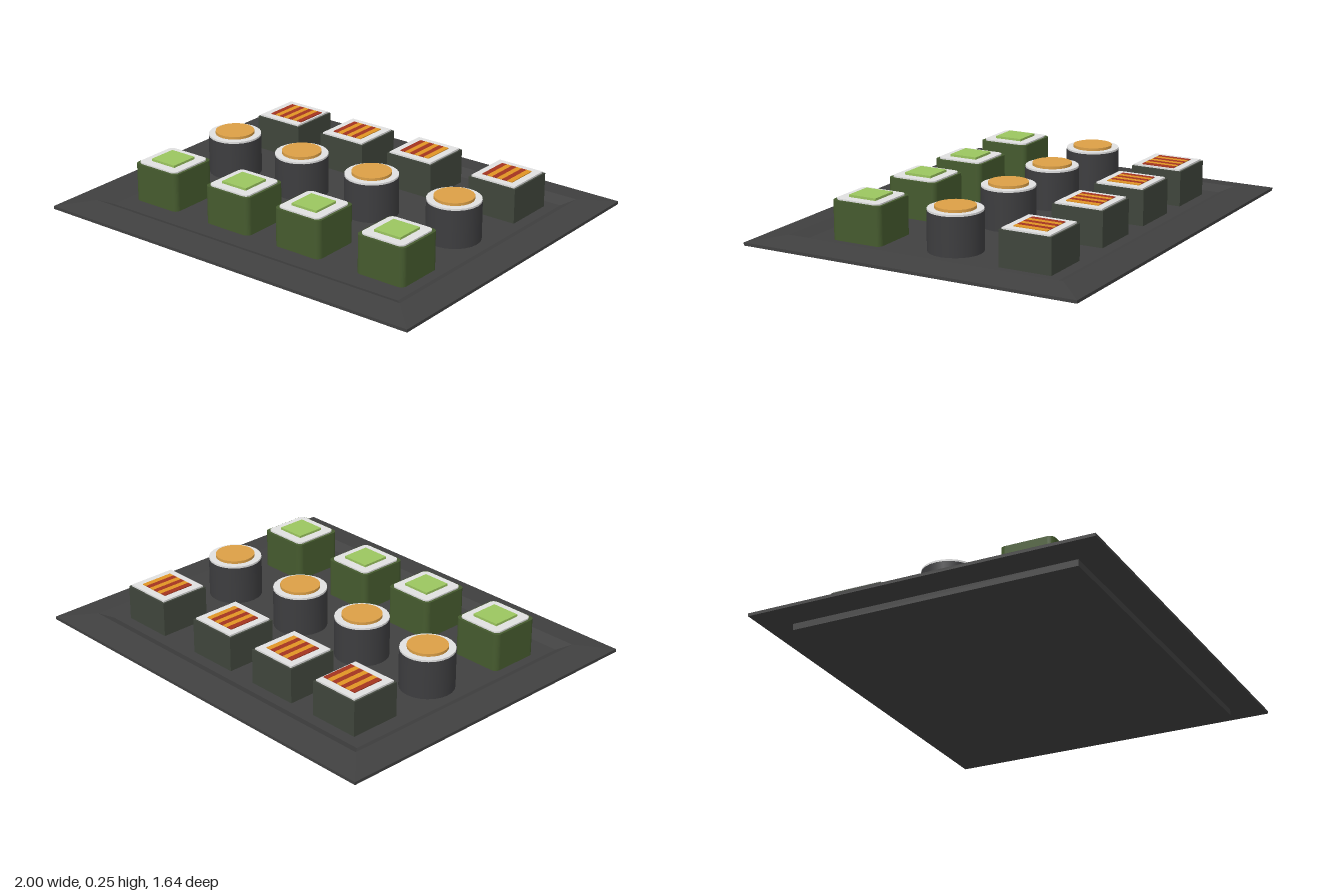
import * as THREE from 'three';

const paint = (name, color) => {
  const m = new THREE.MeshStandardMaterial({ color });
  m.name = name;
  return m;
};

// Rectangular rings [halfX, halfZ, y], joined bottom to top with flat faces
function rectLoft(rings) {
  const corners = [[1, 1], [1, -1], [-1, -1], [-1, 1]];
  const at = ([hx, hz, y], i) => [corners[i % 4][0] * hx, y, corners[i % 4][1] * hz];
  const pos = [];
  for (let r = 0; r < rings.length - 1; r++) {
    for (let i = 0; i < 4; i++) {
      const a = at(rings[r], i), b = at(rings[r], i + 1);
      const c = at(rings[r + 1], i + 1), d = at(rings[r + 1], i);
      pos.push(...a, ...b, ...c, ...a, ...c, ...d);
    }
  }
  const g = new THREE.BufferGeometry();
  g.setAttribute('position', new THREE.Float32BufferAttribute(pos, 3));
  g.computeVertexNormals();
  return g;
}

// Upright block with rounded vertical corners, from y0 to y1
function roundedBlock(size, radius, y0, y1) {
  const h = size / 2, k = h - radius;
  const s = new THREE.Shape();
  s.absarc(k, k, radius, 0, Math.PI / 2);
  s.absarc(-k, k, radius, Math.PI / 2, Math.PI);
  s.absarc(-k, -k, radius, Math.PI, Math.PI * 1.5);
  s.absarc(k, -k, radius, Math.PI * 1.5, Math.PI * 2);
  const g = new THREE.ExtrudeGeometry(s, { depth: y1 - y0, bevelEnabled: false, curveSegments: 4 });
  return g.rotateX(-Math.PI / 2).translate(0, y0, 0);
}

const block = (w, d, y0, y1) => new THREE.BoxGeometry(w, y1 - y0, d).translate(0, (y0 + y1) / 2, 0);
const disc = (r, y0, y1) => new THREE.CylinderGeometry(r, r, y1 - y0, 24).translate(0, (y0 + y1) / 2, 0);

export function createModel() {
  const model = new THREE.Group();
  model.name = 'sushiTray';

  const trayBlack = paint('trayBlack', 0x404040);
  const rice = paint('riceWhite', 0xe0e0e0);
  const roe = paint('amberFilling', 0xdb9f46);
  const avocado = paint('lightGreen', 0x9bc55f);
  const red = paint('stripeRed', 0xa33420);
  const orange = paint('stripeOrange', 0xe09424);
  const leafGreen = paint('leafGreen', 0x455a2e);
  const charcoal = paint('charcoalWrap', 0x3d3d3f);
  const olive = paint('darkOliveWrap', 0x3f453b);

  const add = (parent, name, geometry, material, x = 0, z = 0) => {
    const mesh = new THREE.Mesh(geometry, material);
    mesh.name = name;
    mesh.position.set(x, 0, z);
    parent.add(mesh);
    return mesh;
  };
  const piece = (name, x, z) => {
    const g = new THREE.Group();
    g.name = name;
    g.position.set(x, 0, z);
    model.add(g);
    return g;
  };

  // Tray: foot, flared lip, sloping rim and sunken floor
  const floor = 0.045;
  add(model, 'tray', rectLoft([
    [0, 0, 0], [0.86, 0.68, 0], [0.86, 0.68, 0.03], [1, 0.82, 0.036],
    [1, 0.82, 0.05], [0.86, 0.68, 0.07], [0.81, 0.625, floor], [0, 0, floor],
  ]), trayBlack);

  // Back row: square pieces with striped filling
  [-0.612, -0.225, 0.171, 0.631].forEach((x, i) => {
    const g = piece('stripedRoll', x, -0.445);
    add(g, 'wrap', block(0.25, 0.25, floor, 0.21), olive);
    add(g, 'riceTop', block(0.232, 0.232, 0.21, 0.218), rice);
    const count = i === 0 ? 7 : 6;
    for (let s = 0; s < count; s++) {
      add(g, 'fillingStripe', block(0.0268, 0.16, 0.218, 0.222), s % 2 ? orange : red, -0.067 + s * 0.0268);
    }
  });

  // Middle row: round pieces with a raised amber disc
  for (const x of [-0.639, -0.232, 0.174, 0.628]) {
    const g = piece('roundRoll', x, -0.033);
    add(g, 'wrap', disc(0.125, floor, 0.226), charcoal);
    add(g, 'riceTop', disc(0.124, 0.226, 0.235), rice);
    add(g, 'filling', disc(0.092, 0.235, 0.248), roe);
  }

  // Front row: rounded square pieces with a raised green block
  for (const x of [-0.641, -0.214, 0.185, 0.634]) {
    const g = piece('greenRoll', x, 0.397);
    add(g, 'wrap', roundedBlock(0.25, 0.026, floor, 0.225), leafGreen);
    add(g, 'riceTop', roundedBlock(0.226, 0.026, 0.225, 0.232), rice);
    add(g, 'filling', block(0.138, 0.138, 0.232, 0.243), avocado);
  }

  return model;
}
